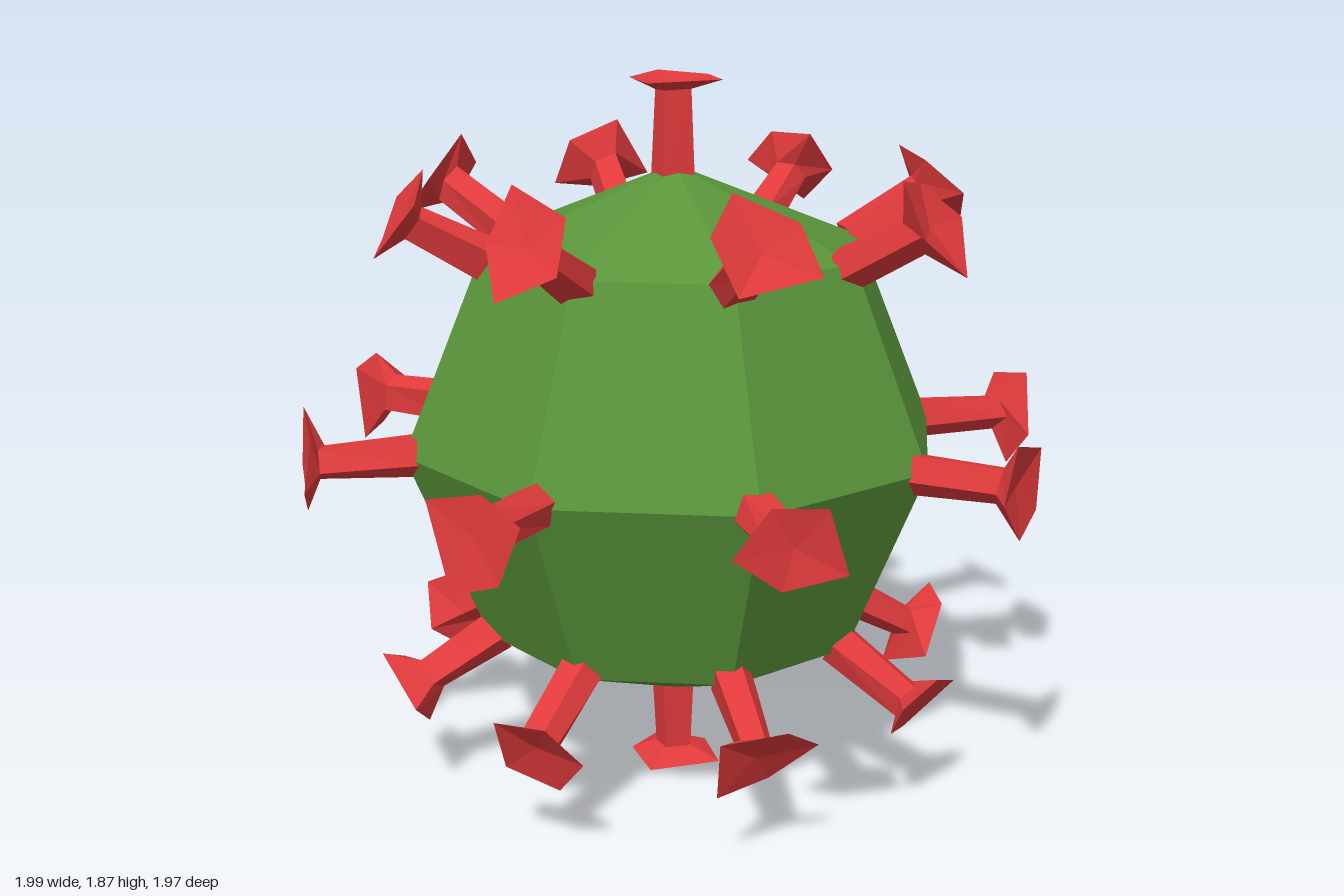
import * as THREE from 'three';

const RADIUS = 0.725, CENTRE_Y = 0.93;

// Lip outline of a spike head: angle in degrees, radius
const LIP = [[-45, 0.138], [25, 0.118], [90, 0.142], [155, 0.118], [225, 0.138]];

// Small seeded generator
function seeded(seed) {
  let s = seed;
  return () => (s = (s * 16807) % 2147483647) / 2147483647;
}

// Five-sided stalk flaring into a shallow irregular cup, growing along +y
function spikeGeometry(length, random, wobble) {
  const vary = (v, amount) => v + (random() - 0.5) * amount * wobble;
  const rings = [[], [], []];
  const put = (ring, angle, r, y) => ring.push([Math.cos(angle) * r, y, Math.sin(-angle) * r]);
  const neck = length - 0.035;
  LIP.forEach(([deg, r]) => {
    const a = THREE.MathUtils.degToRad(deg);
    put(rings[0], a, 0.06, -0.03);
    put(rings[1], a, vary(0.05, 0.016), neck - random() * 0.045 * wobble);
    put(rings[2], a + (random() - 0.5) * 0.3 * wobble, vary(r, 0.035), vary(length - 0.008, 0.045));
  });
  const pos = [];
  const tri = (a, b, c) => pos.push(...a, ...b, ...c);
  const n = LIP.length;
  const hollow = [0, neck + 0.008, 0];
  for (let i = 0; i < n; i++) {
    const j = (i + 1) % n;
    for (let k = 0; k < 2; k++) {
      const lo = rings[k], hi = rings[k + 1];
      tri(lo[i], lo[j], hi[j]);
      tri(lo[i], hi[j], hi[i]);
    }
    tri(rings[2][i], rings[2][j], hollow);
  }
  const g = new THREE.BufferGeometry();
  g.setAttribute('position', new THREE.Float32BufferAttribute(pos, 3));
  g.computeVertexNormals();
  return g;
}

export function createModel() {
  const model = new THREE.Group();
  model.name = 'spikedSphere';
  const green = new THREE.MeshStandardMaterial({ color: 0x5a953a, flatShading: true });
  green.name = 'green';
  const red = new THREE.MeshStandardMaterial({ color: 0xe03a3c, flatShading: true, side: THREE.DoubleSide });
  red.name = 'red';

  // Faceted body
  const body = new THREE.Mesh(new THREE.SphereGeometry(RADIUS, 8, 4), green);
  body.name = 'body';
  body.position.y = CENTRE_Y;
  model.add(body);

  const random = seeded(4711);
  const up = new THREE.Vector3(0, 1, 0);
  const direction = (lat, lon) => new THREE.Vector3(
    Math.cos(lat) * Math.sin(lon), Math.sin(lat), Math.cos(lat) * Math.cos(lon));

  // lat: where the spike stands, tilt: the elevation it points to
  function addSpike(name, lat, tilt, lon, length, twist, wobble) {
    const spike = new THREE.Mesh(spikeGeometry(length, random, wobble), red);
    spike.name = name;
    spike.position.copy(direction(lat, lon)).multiplyScalar(RADIUS);
    spike.position.y += CENTRE_Y;
    spike.quaternion.setFromUnitVectors(up, direction(tilt, lon));
    spike.rotateY(twist);
    model.add(spike);
  }

  // One spike on every corner of the body
  const rows = [
    ['upperSpike', Math.PI / 4, Math.PI / 6, 0.25],
    ['middleSpike', 0, 0, 0.258],
    ['lowerSpike', -Math.PI / 4, -Math.PI / 6, 0.25],
  ];
  for (const [name, lat, tilt, length] of rows) {
    for (let i = 0; i < 8; i++) {
      addSpike(name, lat, tilt, i * Math.PI / 4, length, random() * Math.PI * 2, 1);
    }
  }
  addSpike('topSpike', Math.PI / 2, Math.PI / 2, 0, 0.23, 0, 0.15);
  addSpike('bottomSpike', -Math.PI / 2, -Math.PI / 2, 0, 0.2, 0, 0.15);
  return model;
}
